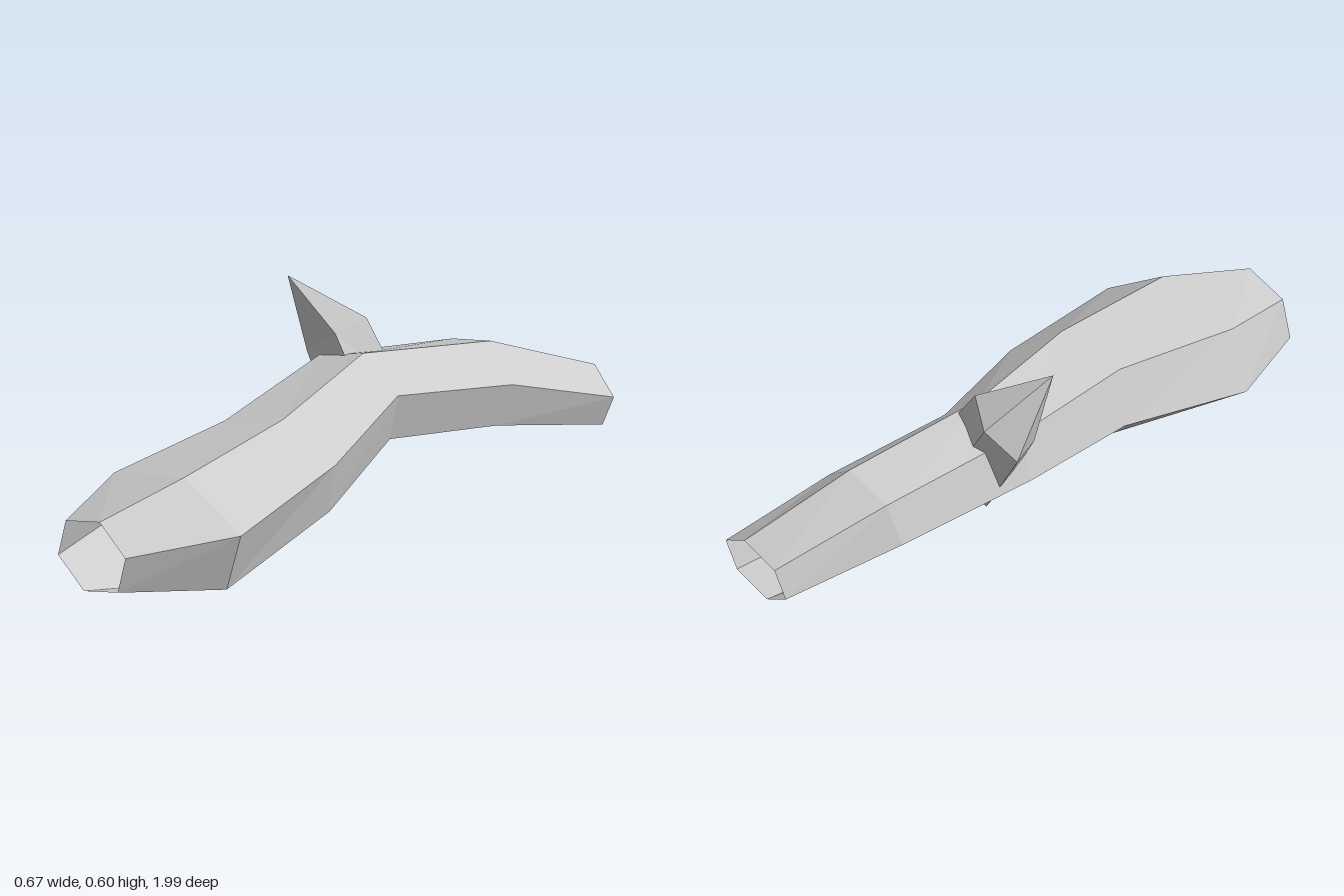
import * as THREE from 'three';

// Skin a list of equal-length rings (counter-clockwise seen from the first ring's end).
function loft(rings, material, name) {
  const pos = [];
  const tri = (a, b, c) => pos.push(...a, ...b, ...c);
  for (let i = 0; i < rings.length - 1; i++) {
    const p = rings[i], q = rings[i + 1], n = p.length;
    for (let j = 0; j < n; j++) {
      const k = (j + 1) % n;
      if (p[j] !== p[k]) tri(p[j], q[k], p[k]); // skipped where a ring is a single point
      tri(p[j], q[j], q[k]);
    }
  }
  const geo = new THREE.BufferGeometry();
  geo.setAttribute('position', new THREE.Float32BufferAttribute(pos, 3));
  geo.computeVertexNormals();
  const mesh = new THREE.Mesh(geo, material);
  mesh.name = name;
  return mesh;
}

export function createModel() {
  const group = new THREE.Group();
  group.name = 'hollowLog';
  const bark = new THREE.MeshStandardMaterial({ color: 0xcccccc, flatShading: true, side: THREE.DoubleSide });
  bark.name = 'bark grey';

  // Tilted hexagon, as fractions of half width and half height
  const hexagon = [[-0.23, -1], [0.775, -0.69], [1, 0.3], [0.23, 1], [-0.775, 0.69], [-1, -0.3]];

  // Trunk sections, front to back: centre x, y, z, half width, half height, z slope along x, z slope along y
  const sections = [
    [0.039, 0.173, 0.988, 0.141, 0.11, 0.08, 0],
    [0.062, 0.179, 0.7, 0.269, 0.176, -0.02, 0.04],
    [0.02, 0.238, 0.235, 0.2, 0.155, -0.175, 0.2],
    [-0.115, 0.291, -0.21, 0.16, 0.139, -0.06, 0.05],
    [-0.057, 0.241, -0.625, 0.161, 0.124, 0.155, -0.25],
    [0.036, 0.149, -0.959, 0.141, 0.086, 0.2, -0.22],
  ];
  const trunkRings = sections.map(([cx, cy, cz, w, h, sx, sy]) =>
    hexagon.map(([u, v]) => [cx + u * w, cy + v * h, cz + u * w * sx + v * h * sy]));
  group.add(loft(trunkRings, bark, 'trunk'));

  // Broken branch stub: pointed splinter, collar, and root passing into the trunk
  const tip = [-0.335, 0.603, -0.17];
  const collar = [
    [-0.138, 0.5, -0.28], [-0.23, 0.445, -0.335], [-0.325, 0.373, -0.3],
    [-0.29, 0.385, -0.2], [-0.175, 0.465, -0.195],
  ];
  const root = [
    [0.0, 0.32, -0.285], [-0.1, 0.25, -0.335], [-0.203, 0.178, -0.3],
    [-0.175, 0.2, -0.19], [-0.04, 0.29, -0.18],
  ];
  group.add(loft([collar.map(() => tip), collar, root], bark, 'branchStub'));

  return group;
}
